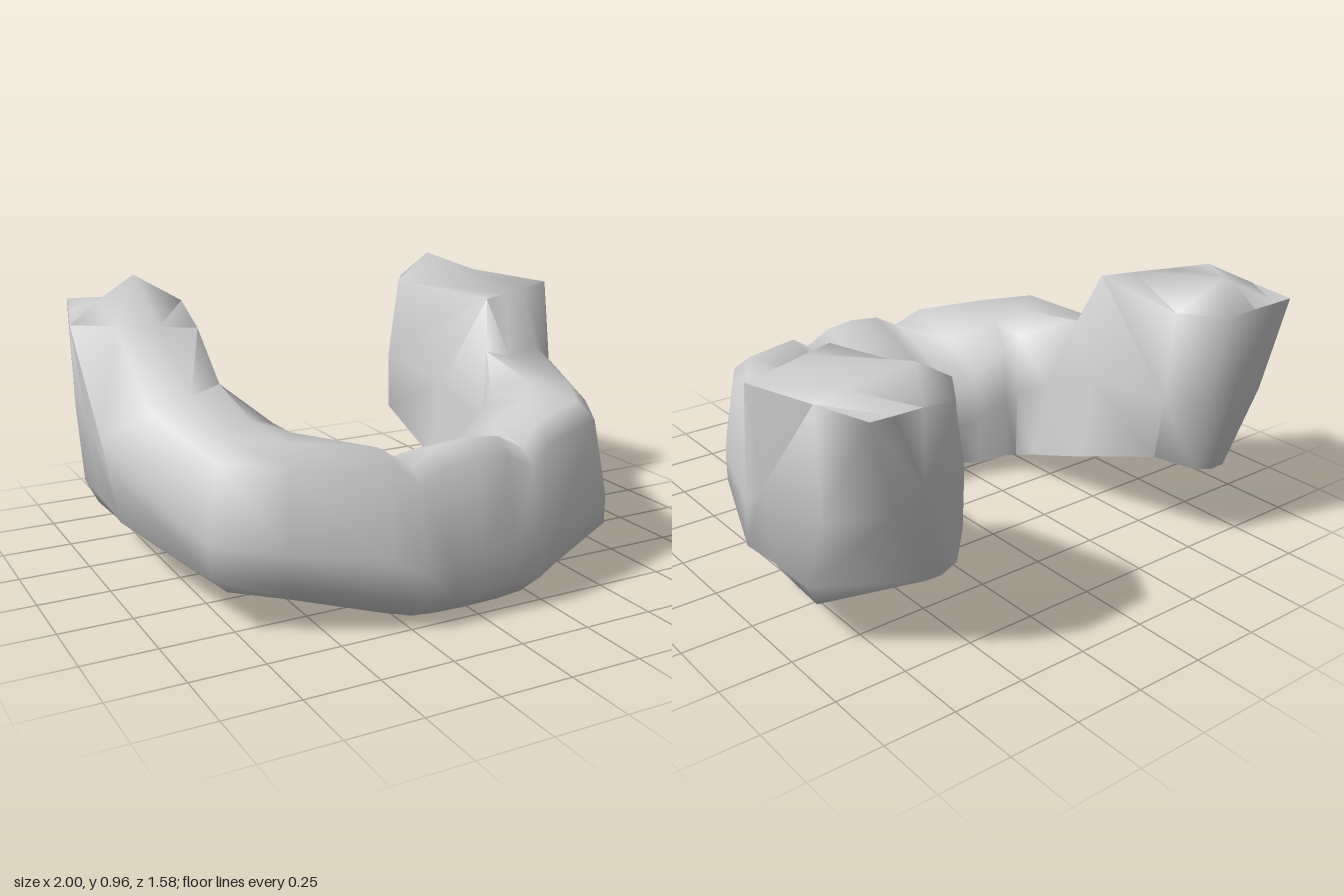
import * as THREE from 'three';
import { toCreasedNormals } from 'three/addons/utils/BufferGeometryUtils.js';

// Cross-sections as [across, up]: across 0 = inner wall, 1 = outer wall.
// Order: underside, outer wall, top, inner wall.
const CHIN = [[0, .09], [.82, 0], [1, .17], [1, .36], [.9, .9], [.79, 1], [.4, .85], [.04, .66], [0, .4]];
const BODY = [[0, -.06], [.8, 0], [1, .17], [1, .38], [.9, .88], [.76, 1], [.4, 1], [.1, .9], [.03, .45]];

// Stations from the chin to the foot of the arm:
// outer x, outer z, inner x, inner z, bottom y, top y, blend from CHIN to BODY
const bodyStations = (side) => [
  [0, .785, 0, .2, 0, .58, 0],
  [.12, .785, .11, .205, .003, .565, 0],
  [.215, .785, .2, .21, .012, .515, 0],
  [.31, .745, .27, .165, .025, .575, .25],
  [.61, .62, .37, .125, .08, .595, .7],
  side > 0 ? [.73, .4, .41, .11, .1, .61, 1] : [.82, .49, .41, .11, .1, .61, 1],
];

// Loops of the rising arm, same point order
const armFoot = (side) => [[.425, .095, .03], [.84, .125, -.13], [.92, .2, -.1], [.94, .38, -.15],
  side > 0 ? [.92, .58, -.17] : [.95, .48, -.2], side > 0 ? [.83, .64, -.12] : [.8, .58, -.1],
  [.66, .63, -.06], [.555, .66, -.065], [.485, .38, .02]];
const ARM_FRONT = [[.43, .19, -.25], [.87, .14, -.31], [.93, .23, -.3], [.96, .5, -.3], [1, .865, -.31],
  [.85, .86, -.25], [.72, .855, -.19], [.6, .85, -.14], [.465, .5, -.25]];
const ARM_REAR = [[.43, .33, -.62], [.89, .155, -.48], [.93, .24, -.5], [.925, .5, -.59], [.93, .87, -.58],
  [.83, .89, -.58], [.65, .965, -.68], [.48, .86, -.63], [.44, .55, -.64]];
const ARM_END = [[.53, .29, -.72], [.6, .275, -.735], [.66, .28, -.74], [.79, .55, -.765], [.88, .875, -.79],
  [.8, .873, -.79], [.7, .87, -.785], [.58, .86, -.78], [.54, .55, -.75]];

// Loop of points for one body station
function ring([xo, zo, xi, zi, y0, y1, blend]) {
  return CHIN.map(([u0, v0], i) => {
    const u = THREE.MathUtils.lerp(u0, BODY[i][0], blend);
    const v = THREE.MathUtils.lerp(v0, BODY[i][1], blend);
    return [
      THREE.MathUtils.lerp(xi, xo, u),
      THREE.MathUtils.lerp(y0, y1, v),
      THREE.MathUtils.lerp(zi, zo, u),
    ];
  });
}

// All loops of one half, chin to arm end
function half(side) {
  const rings = [...bodyStations(side).map(ring), armFoot(side), ARM_FRONT, ARM_REAR, ARM_END];
  return rings.map((loop) => loop.map(([x, y, z]) => [side * x, y, z]));
}

// Skin over the loops, closed at both ends with a fan
function loft(rings) {
  const n = rings[0].length;
  const last = rings.length - 1;
  const positions = rings.flat(2);
  const index = [];
  for (let j = 0; j < last; j++) {
    for (let i = 0; i < n; i++) {
      const a = j * n + i, b = j * n + (i + 1) % n;
      // mirrored diagonals keep both halves alike
      if (j < last / 2) index.push(a, b, a + n, b, b + n, a + n);
      else index.push(a, b, b + n, a, b + n, a + n);
    }
  }
  for (const j of [0, last]) {
    const centre = positions.length / 3;
    for (let c = 0; c < 3; c++) {
      positions.push(rings[j].reduce((sum, p) => sum + p[c], 0) / n);
    }
    for (let i = 0; i < n; i++) {
      const a = j * n + i, b = j * n + (i + 1) % n;
      index.push(centre, ...(j === 0 ? [b, a] : [a, b]));
    }
  }
  const geometry = new THREE.BufferGeometry();
  geometry.setAttribute('position', new THREE.Float32BufferAttribute(positions, 3));
  geometry.setIndex(index);
  return toCreasedNormals(geometry, 1.4);
}

export function createModel() {
  const group = new THREE.Group();
  group.name = 'jawbone';
  const material = new THREE.MeshStandardMaterial({ color: 0xcccccc });

  // One continuous bone: left arm, chin, right arm
  const jaw = new THREE.Mesh(loft([...half(1).reverse(), ...half(-1).slice(1)]), material);
  jaw.name = 'lowerJaw';
  group.add(jaw);
  return group;
}
